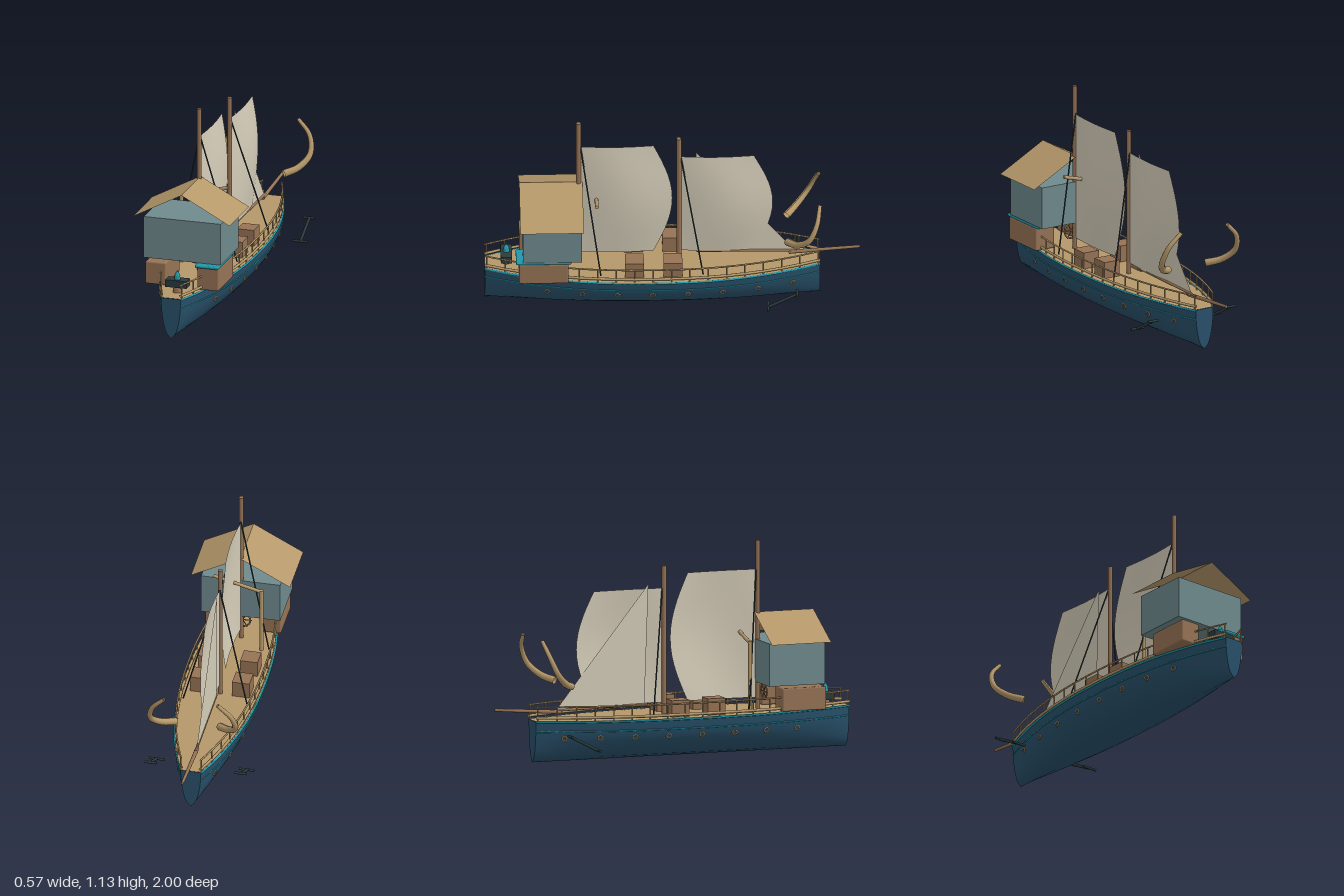
import * as THREE from 'three';
import { RoundedBoxGeometry } from 'three/addons/geometries/RoundedBoxGeometry.js';

const V = (x, y, z) => new THREE.Vector3(x, y, z);
function material(name, color, double) {
  const m = new THREE.MeshStandardMaterial({ color });
  m.name = name;
  if (double) m.side = THREE.DoubleSide;
  return m;
}

// Hull plan: half width at deck level for a given z
const Z0 = -0.785, Z1 = 1.0, MID = (Z0 + Z1) / 2, HALF = (Z1 - Z0) / 2;
const halfWidth = z => 0.055 + 0.16 * (1 - Math.pow(Math.abs((z - MID) / HALF), 2.3));

// Hull section: width fraction and height, keel to gunwale
const section = new THREE.CatmullRomCurve3(
  [V(0, 0, 0), V(0.55, 0.04, 0), V(0.86, 0.115, 0), V(0.96, 0.17, 0), V(1, 0.225, 0)]).getPoints(12);
function widthAt(y) {
  for (let i = 1; i < section.length; i++) {
    const a = section[i - 1], b = section[i];
    if (y <= b.y) return a.x + (b.x - a.x) * (y - a.y) / (b.y - a.y);
  }
  return 1;
}

export function createModel() {
  const root = new THREE.Group();
  root.name = 'sailingShip';
  const hullBlue = material('hullBlue', 0x28506a);
  const teal = material('teal', 0x2299aa);
  const tan = material('tanWood', 0xb5986a, true);
  const brown = material('brownWood', 0x967355);
  const slate = material('slateCabin', 0x6f8a8d);
  const dark = material('darkIron', 0x2b3b3e);
  const canvas = material('canvas', 0xd4ccb8, true);

  const add = (name, geo, mat, x = 0, y = 0, z = 0) => {
    const m = new THREE.Mesh(geo, mat);
    m.name = name;
    m.position.set(x, y, z);
    root.add(m);
    return m;
  };
  const rod = (name, a, b, r0, mat, r1 = r0) => {
    const d = b.clone().sub(a);
    const m = add(name, new THREE.CylinderGeometry(r1, r0, d.length(), 10), mat);
    m.position.copy(a).add(b).multiplyScalar(0.5);
    m.quaternion.setFromUnitVectors(V(0, 1, 0), d.normalize());
    return m;
  };
  const tube = (name, pts, r, mat) =>
    add(name, new THREE.TubeGeometry(new THREE.CatmullRomCurve3(pts), 48, r, 6), mat);
  const box = (name, w, h, d, mat, x, y, z) => add(name, new THREE.BoxGeometry(w, h, d), mat, x, y, z);
  // Points following the side of the ship
  const sidePoints = (s, y, k, za = Z0, zb = Z1) => Array.from({ length: 25 }, (_, i) => {
    const z = za + (zb - za) * i / 24;
    return V(s * k * halfWidth(z), y, z);
  });

  // Hull skin lofted through the sections
  const ring = [...section].reverse().map(p => [p.x, p.y])
    .concat(section.slice(1).map(p => [-p.x, p.y]));
  const N = 40, R = ring.length, pos = [], idx = [];
  for (let i = 0; i <= N; i++) {
    const z = Z0 + (Z1 - Z0) * i / N, w = halfWidth(z);
    for (const [x, y] of ring) pos.push(x * w, y, z);
  }
  for (let i = 0; i < N; i++) for (let j = 0; j < R - 1; j++) {
    const a = i * R + j, b = a + 1, c = a + R, d = c + 1;
    idx.push(a, c, b, b, c, d);
  }
  const skin = new THREE.BufferGeometry();
  skin.setAttribute('position', new THREE.Float32BufferAttribute(pos, 3));
  skin.setIndex(idx);
  skin.computeVertexNormals();
  add('hull', skin, hullBlue);
  const endShape = new THREE.Shape(ring.map(([x, y]) => new THREE.Vector2(x * halfWidth(Z1), y)));
  add('hullFrontEnd', new THREE.ShapeGeometry(endShape), hullBlue, 0, 0, Z1);
  add('hullRearEnd', new THREE.ShapeGeometry(endShape), hullBlue, 0, 0, Z0).rotation.y = Math.PI;

  // Deck
  const outline = [...sidePoints(1, 0, 1), ...sidePoints(-1, 0, 1).reverse()];
  const deck = new THREE.ShapeGeometry(new THREE.Shape(outline.map(p => new THREE.Vector2(p.x, -p.z))));
  add('deck', deck.rotateX(-Math.PI / 2), tan, 0, 0.226, 0);

  // Trim, rails, portholes, tusks and anchors on both sides
  for (const s of [1, -1]) {
    tube('gunwaleTrim', sidePoints(s, 0.222, 1), 0.006, teal);
    tube('sideStripe', sidePoints(s, 0.17, widthAt(0.17)), 0.004, teal);
    tube('lowerRail', sidePoints(s, 0.244, 0.95), 0.008, tan);
    tube('upperRail', sidePoints(s, 0.303, 0.95), 0.005, tan);
    for (let i = 0; i <= 18; i++) {
      const z = Z0 + 0.01 + (Z1 - Z0 - 0.02) * i / 18, x = s * 0.95 * halfWidth(z);
      rod('railPost', V(x, 0.225, z), V(x, 0.303, z), 0.004, tan);
    }
    for (let i = 0; i < 8; i++) {
      const z = 0.67 - i * 0.187, x = s * (halfWidth(z) * widthAt(0.133) + 0.001);
      const turn = s * (Math.PI / 2) - Math.atan2(halfWidth(z + 0.01) - halfWidth(z - 0.01), 0.02) * -s;
      add('portholeRim', new THREE.TorusGeometry(0.013, 0.004, 8, 16), tan, x, 0.133, z).rotation.y = turn;
      add('portholeGlass', new THREE.CylinderGeometry(0.012, 0.012, 0.006, 16).rotateX(Math.PI / 2), dark,
        x, 0.133, z).rotation.y = turn;
    }

    // Curved tusk, tapering to the tip
    const path = new THREE.CatmullRomCurve3([V(0.12 * s, 0.415, -0.61), V(0.185 * s, 0.44, -0.665),
      V(0.23 * s, 0.50, -0.725), V(0.215 * s, 0.59, -0.765), V(0.145 * s, 0.67, -0.783)]);
    const SEG = 24, RAD = 10, tusk = new THREE.TubeGeometry(path, SEG, 0.021, RAD), p = tusk.attributes.position;
    for (let i = 0; i <= SEG; i++) {
      const c = path.getPointAt(i / SEG), k = 1 - 0.5 * i / SEG;
      for (let j = 0; j <= RAD; j++) {
        const n = i * (RAD + 1) + j;
        const q = V(0, 0, 0).fromBufferAttribute(p, n).sub(c).multiplyScalar(k).add(c);
        p.setXYZ(n, q.x, q.y, q.z);
      }
    }
    tusk.computeVertexNormals();
    add('tusk', tusk, tan);

    // Anchor
    rod('anchorShaft', V(0.247 * s, 0.082, -0.505), V(0.247 * s, 0.163, -0.66), 0.008, dark);
    rod('anchorFluke', V(0.203 * s, 0.082, -0.505), V(0.286 * s, 0.082, -0.505), 0.007, dark);
    rod('anchorStock', V(0.213 * s, 0.163, -0.66), V(0.276 * s, 0.163, -0.66), 0.007, dark);

    // Shrouds and cargo crates
    rod('rearShroud', V(0, 0.9, -0.045), V(0.175 * s, 0.25, -0.16), 0.004, dark);
    rod('frontShroud', V(0, 0.98, 0.49), V(0.175 * s, 0.25, 0.385), 0.004, dark);
    for (const z of [0, 0.205]) box('crate', 0.095, 0.09, 0.1, brown, 0.115 * s, 0.27, z);
  }

  // Masts, bowsprit and boom
  rod('frontMast', V(0, 0.2, 0.5), V(0, 1.13, 0.5), 0.013, brown);
  rod('rearMast', V(0, 0.2, -0.035), V(0, 1.02, -0.035), 0.013, brown);
  rod('bowsprit', V(0, 0.262, -0.62), V(0, 0.292, -1), 0.011, brown, 0.008);
  rod('boom', V(0, 0.28, -0.13), V(0, 0.272, -0.66), 0.007, brown);

  // Square sails: bellied sheets with a bowed free edge
  const sail = (name, z, top) => {
    const g = new THREE.PlaneGeometry(1, 1, 14, 14), p = g.attributes.position;
    for (let i = 0; i < p.count; i++) {
      const u = p.getX(i) + 0.5, v = p.getY(i) + 0.5, bow = Math.sin(Math.PI * v);
      p.setXYZ(i, 0.036 * Math.sin(Math.PI * u) * (0.3 + 0.7 * bow),
        0.285 + (top - 0.285) * v, z - u * (0.39 + 0.1 * bow));
    }
    g.computeVertexNormals();
    add(name, g, canvas);
  };
  sail('frontSail', 0.49, 0.975);
  sail('rearSail', -0.045, 0.9);

  // Triangular sail
  const jib = new THREE.Shape([[0.125, 0.925], [0.148, 0.28], [0.655, 0.27]].map(a => new THREE.Vector2(...a)));
  add('triangularSail', new THREE.ShapeGeometry(jib).rotateY(Math.PI / 2), canvas, -0.003, 0, 0);

  // Cabin with open-ended gable roof
  box('cabin', 0.43, 0.23, 0.315, slate, 0, 0.485, 0.643);
  const slope = Math.atan2(0.145, 0.27);
  for (const s of [1, -1]) {
    const panel = new THREE.PlaneGeometry(Math.hypot(0.27, 0.145), 0.338).rotateX(-Math.PI / 2);
    add('roofPanel', panel, tan, 0.135 * s, 0.6725, 0.647).rotation.z = -s * slope;
  }
  add('leftLocker', new RoundedBoxGeometry(0.12, 0.125, 0.265, 2, 0.008), brown, 0.15, 0.29, 0.69);
  add('lockerLid', new RoundedBoxGeometry(0.132, 0.016, 0.295, 2, 0.007), teal, 0.146, 0.36, 0.69);
  add('rightLocker', new RoundedBoxGeometry(0.115, 0.125, 0.25, 2, 0.008), brown, -0.145, 0.292, 0.69);

  // Lifting post with slanted arm
  rod('armPost', V(-0.13, 0.22, 0.405), V(-0.13, 0.61, 0.405), 0.011, tan);
  rod('slantedArm', V(-0.13, 0.6, 0.405), V(0.13, 0.668, 0.405), 0.01, tan);

  // Steering wheel
  add('steeringWheel', new THREE.TorusGeometry(0.042, 0.005, 8, 20), brown, 0, 0.315, 0.535);
  for (let i = 0; i < 3; i++) {
    const a = i * Math.PI / 3, x = 0.05 * Math.cos(a), y = 0.05 * Math.sin(a);
    rod('wheelSpoke', V(-x, 0.315 - y, 0.535), V(x, 0.315 + y, 0.535), 0.003, brown);
  }

  // Brazier with flame
  add('brazierStand', new THREE.CylinderGeometry(0.02, 0.025, 0.04, 10), brown, 0, 0.245, 0.885);
  box('brazier', 0.12, 0.04, 0.06, dark, 0, 0.278, 0.885);
  add('flameBase', new THREE.CylinderGeometry(0.014, 0.018, 0.025, 8), teal, 0, 0.31, 0.885);
  add('flameTip', new THREE.ConeGeometry(0.016, 0.03, 8), teal, 0, 0.335, 0.885);
  return root;
}
